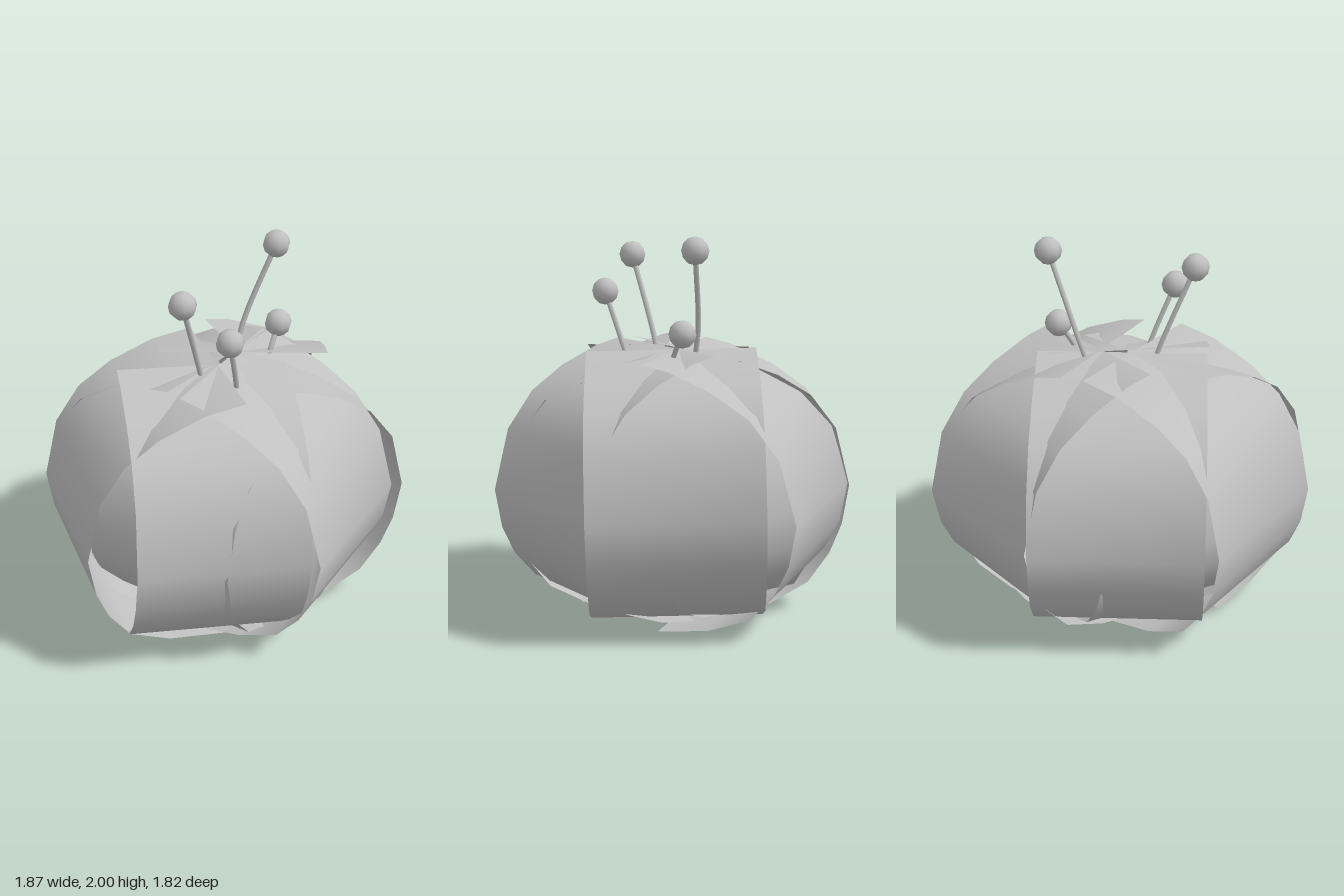
import * as THREE from 'three';

const WIDTH = 0.88;

// Petal cross-section: [outward amount 0..1, height], top to bottom
const PROFILE = [
  [0, 1.40], [0.18, 1.37], [0.46, 1.28], [0.70, 1.16], [0.89, 0.97], [1, 0.65],
  [0.95, 0.44], [0.86, 0.29], [0.70, 0.145], [0.42, 0.06], [0.08, 0.02],
];

// Per petal: compass angle (0 = +x, 90 = +z), outer reach, inner end, sideways shift, tilt, fullness
const OUTER_PETALS = [
  { angle: -80.2, outer: 0.856, end: 0.05, shift: -0.08, tilt: 0.035, fullness: 1 },
  { angle: -13.3, outer: 0.855, end: 0.09, shift: 0, tilt: 0.02, fullness: 1 },
  { angle: 41.3, outer: 0.815, end: 0.02, shift: -0.05, tilt: 0, fullness: 1 },
  { angle: 91.1, outer: 0.853, end: 0.065, shift: -0.16, tilt: -0.045, fullness: 1 },
  { angle: 173.1, outer: 0.895, end: 0.06, shift: 0.06, tilt: 0, fullness: 1.25 },
  { angle: -130.5, outer: 0.845, end: 0, shift: 0.025, tilt: 0, fullness: 1 },
];

// Smaller petals behind the gaps
const INNER_PETALS = [
  { angle: 136, outer: 0.715, shift: 0.054 },
  { angle: 200, outer: 0.7, shift: 0 },
  { angle: -45, outer: 0.68, shift: 0 },
  { angle: 25, outer: 0.7, shift: 0 },
].map((p) => ({ ...p, end: 0.06, tilt: 0, fullness: 1, height: 0.86, middle: 0.64 }));

// Stamens: ball centre and the points its stalk passes through going down
const STAMENS = [
  { ball: [-0.27, 1.86, 0.29], via: [[-0.15, 1.38, 0.13], [-0.05, 0.9, 0.03]] },
  { ball: [-0.055, 1.68, 0.385], via: [[0.01, 1.34, 0.25], [0.04, 0.9, 0.09]] },
  { ball: [0.315, 1.93, -0.18], via: [[0.14, 1.52, -0.16], [0.09, 1.34, -0.13], [0.03, 0.9, -0.05]] },
  { ball: [0.315, 1.51, -0.115], via: [[0.25, 1.36, -0.05], [0.1, 0.9, -0.02]] },
];

// A strip of constant width bent along the profile
function petalGeometry({ outer, end, shift, tilt, fullness, height = 1, middle = 0.7 }) {
  const geometry = new THREE.PlaneGeometry(WIDTH, 1, 1, PROFILE.length - 1);
  const position = geometry.attributes.position;
  for (let i = 0; i < position.count; i++) {
    const [out, level] = PROFILE[Math.floor(i / 2)];
    const x = position.getX(i);
    const y = (level - 0.7) * height;
    position.setXYZ(
      i,
      shift + x * Math.cos(tilt) - y * Math.sin(tilt),
      middle + x * Math.sin(tilt) + y * Math.cos(tilt),
      end + out ** (1 / fullness) * (outer - end),
    );
  }
  geometry.computeVertexNormals();
  return geometry;
}

export function createModel() {
  const model = new THREE.Group();
  model.name = 'flowerBud';
  const grey = new THREE.MeshStandardMaterial({ color: 0xc0c0c0, side: THREE.DoubleSide });
  grey.name = 'grey';

  // Interleaved petals
  const addPetal = (name) => (spec) => {
    const petal = new THREE.Mesh(petalGeometry(spec), grey);
    petal.name = name;
    petal.rotation.y = THREE.MathUtils.degToRad(90 - spec.angle);
    model.add(petal);
  };
  OUTER_PETALS.forEach(addPetal('outerPetal'));
  INNER_PETALS.forEach(addPetal('innerPetal'));

  // Stamens with round tips
  for (const { ball, via } of STAMENS) {
    const stamen = new THREE.Group();
    stamen.name = 'stamen';
    const points = [ball, ...via, [0, 0.12, 0]].map((p) => new THREE.Vector3(...p));
    const curve = new THREE.CatmullRomCurve3(points);
    const stalk = new THREE.Mesh(new THREE.TubeGeometry(curve, 20, 0.014, 6), grey);
    stalk.name = 'stalk';
    const tip = new THREE.Mesh(new THREE.SphereGeometry(0.072, 8, 6), grey);
    tip.name = 'stamenTip';
    tip.position.set(...ball);
    stamen.add(stalk, tip);
    model.add(stamen);
  }
  return model;
}
